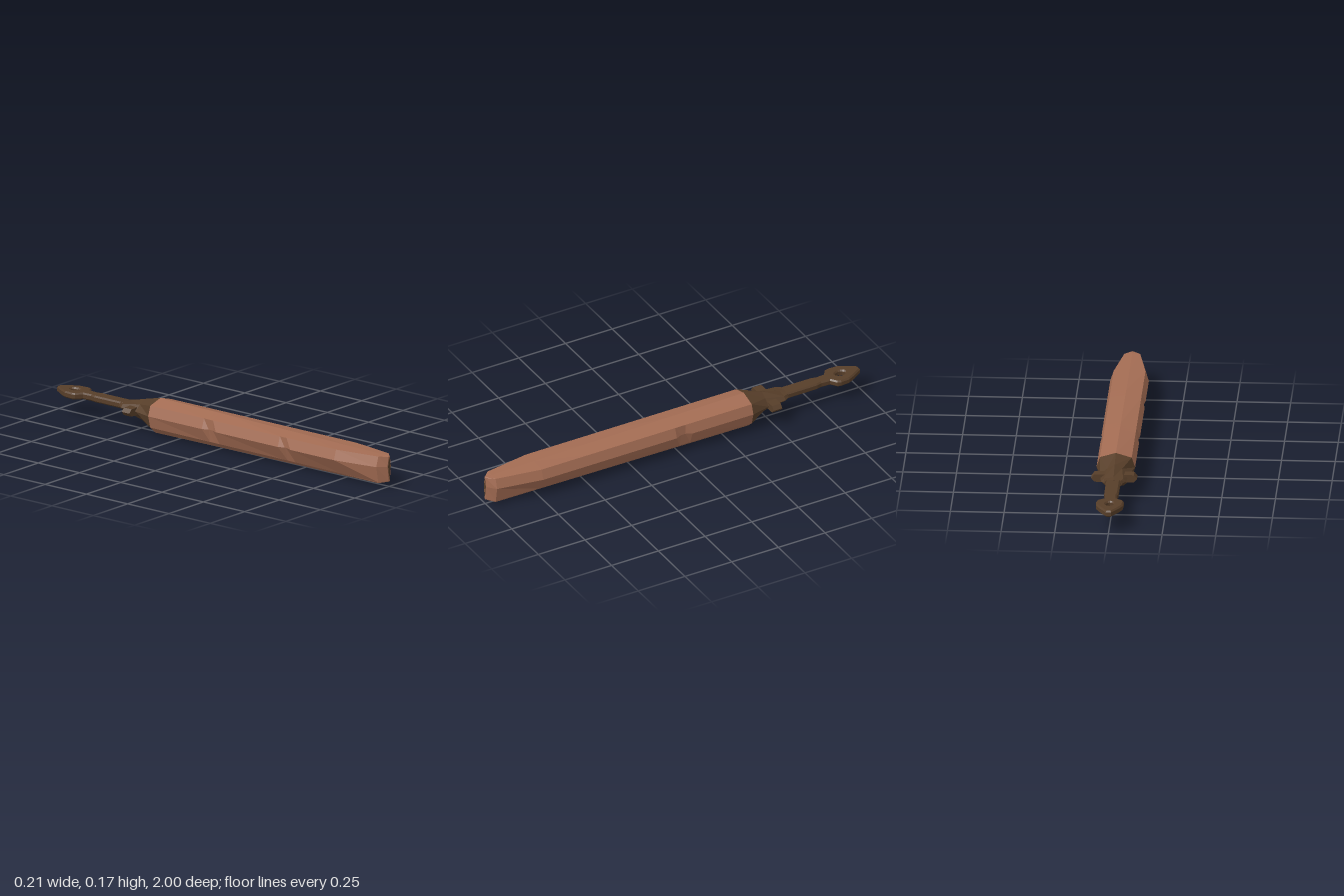
import * as THREE from 'three';

const wood = new THREE.MeshStandardMaterial({ color: 0xa36c53 });
wood.name = 'warm brown';
const dark = new THREE.MeshStandardMaterial({ color: 0x573e29 });
dark.name = 'dark brown';
wood.flatShading = dark.flatShading = true;

// Ring of ten points from five right-hand points plus a bottom point.
// half: [top, shoulder, side, chine, keel edge, bottom] as [x, y]; leftSide overrides the left side x.
function ring(z, half, leftSide = half[2][0]) {
  const pts = half.map(([x, y]) => [x, y, z]);
  for (let i = 4; i >= 1; i--) pts.push([i === 2 ? -leftSide : -half[i][0], half[i][1], z]);
  return pts;
}

// Faceted skin through rings listed from back to front, with closed ends.
function loft(rings) {
  const pos = [];
  const tri = (...p) => p.forEach((v) => pos.push(...v));
  const n = rings[0].length;
  for (let i = 0; i < rings.length - 1; i++) {
    for (let j = 0; j < n; j++) {
      const k = (j + 1) % n;
      const a = rings[i][j], b = rings[i][k], c = rings[i + 1][k], d = rings[i + 1][j];
      tri(a, d, b);
      tri(b, d, c);
    }
  }
  const cap = (r, front) => {
    const mid = [0, 0.1, r[0][2]];
    for (let j = 0; j < n; j++) {
      const k = (j + 1) % n;
      if (front) tri(mid, r[k], r[j]);
      else tri(mid, r[j], r[k]);
    }
  };
  cap(rings[0], false);
  cap(rings[rings.length - 1], true);
  const g = new THREE.BufferGeometry();
  g.setAttribute('position', new THREE.Float32BufferAttribute(pos, 3));
  g.computeVertexNormals();
  return g;
}

// Flat plate drawn as (x, z) and given thickness in y around y = 0.1.
function plate(shape, thickness, bevel) {
  const g = new THREE.ExtrudeGeometry(shape, {
    depth: thickness - 2 * bevel, bevelEnabled: true, bevelThickness: bevel,
    bevelSize: bevel, bevelOffset: -bevel, bevelSegments: 1, curveSegments: 8,
  });
  g.translate(0, 0, -(thickness - 2 * bevel) / 2);
  g.rotateX(-Math.PI / 2); // shape y becomes -z
  g.translate(0, 0.1, 0);
  return g;
}

const BACK = -0.385, TIP = 0.965;
const backHalf = [[0, 0.17], [0.074, 0.148], [0.09, 0.1], [0.074, 0.042], [0.038, 0.01], [0, 0.002]];
const tipHalf = [[0, 0.15], [0.037, 0.148], [0.052, 0.1], [0.038, 0.024], [0.036, 0.019], [0, 0.018]];

// Blade section: ridges run straight, sides stay parallel until the taper.
function bladeRing(z, right, left) {
  const t = (z - BACK) / (TIP - BACK);
  const half = backHalf.map(([x, y], i) => [
    THREE.MathUtils.lerp(x, tipHalf[i][0], t), THREE.MathUtils.lerp(y, tipHalf[i][1], t)]);
  const taper = Math.max(0, (z - 0.74) / (TIP - 0.74));
  half[1][0] = THREE.MathUtils.lerp(0.074, 0.037, taper);
  half[2][0] = right;
  return ring(z, half, left);
}

export function createModel() {
  const model = new THREE.Group();
  const add = (name, geometry, material) => {
    const m = new THREE.Mesh(geometry, material);
    m.name = name;
    model.add(m);
  };

  // Blade with nicks: a pair near the middle and one further along the right edge
  const stations = [
    [-0.06, 0.09, 0.09], [-0.03, 0.076, 0.076], [-0.005, 0.076, 0.076], [0.025, 0.09, 0.09],
    [0.4, 0.09, 0.09], [0.43, 0.09, 0.076], [0.44, 0.09, 0.076], [0.475, 0.09, 0.09], [0.74, 0.09, 0.09],
  ];
  add('blade', loft([
    ring(BACK, backHalf),
    ...stations.map((s) => bladeRing(...s)),
    ring(TIP, tipHalf),
    ring(1.0, [[0, 0.148], [0.005, 0.146], [0.012, 0.1], [0.005, 0.03], [0.004, 0.027], [0, 0.025]]),
  ]), wood);

  // Dark slit in the blunt tip
  const slit = new THREE.Shape([
    new THREE.Vector2(0, 0.146), new THREE.Vector2(-0.009, 0.1),
    new THREE.Vector2(0, 0.03), new THREE.Vector2(0.009, 0.1)]);
  const slitGeometry = new THREE.ShapeGeometry(slit);
  slitGeometry.translate(0, 0, 1.001);
  add('tipSlit', slitGeometry, dark);

  // Collar tapering from blade to grip, pinched between its ridges
  add('collar', loft([
    ring(-0.6, [[0, 0.117], [0.034, 0.114], [0.042, 0.1], [0.034, 0.087], [0.02, 0.084], [0, 0.083]]),
    ring(-0.575, [[0, 0.121], [0.045, 0.115], [0.059, 0.1], [0.045, 0.086], [0.025, 0.08], [0, 0.077]]),
    ring(-0.48, [[0, 0.147], [0.035, 0.128], [0.067, 0.1], [0.04, 0.073], [0.02, 0.05], [0, 0.042]]),
    ring(BACK, backHalf),
  ]), dark);

  // Crossbar with pointed ends
  const bar = new THREE.Shape([
    [0.107, 0.098], [0.092, 0.116], [-0.092, 0.116], [-0.107, 0.098], [-0.092, 0.08], [0.092, 0.08],
  ].map((p) => new THREE.Vector2(...p)));
  const barGeometry = new THREE.ExtrudeGeometry(bar, { depth: 0.046, bevelEnabled: false });
  barGeometry.translate(0, 0, -0.53);
  add('crossbar', barGeometry, dark);

  // Grip and pierced pommel in one plate; outline as (half width, distance back)
  const side = [
    [0.034, 0.56], [0.033, 0.76], [0.027, 0.785], [0.03, 0.83], [0.06, 0.852],
    [0.065, 0.87], [0.062, 0.915], [0.045, 0.95], [0.013, 1.0],
  ];
  const outline = [...side, ...side.slice().reverse().map(([x, d]) => [-x, d])];
  const grip = new THREE.Shape(outline.map((p) => new THREE.Vector2(...p)));
  const hole = new THREE.Path();
  hole.absellipse(0, 0.9, 0.018, 0.026, 0, Math.PI * 2, true);
  grip.holes.push(hole);
  add('gripAndPommel', plate(grip, 0.032, 0.007), dark);

  return model;
}
